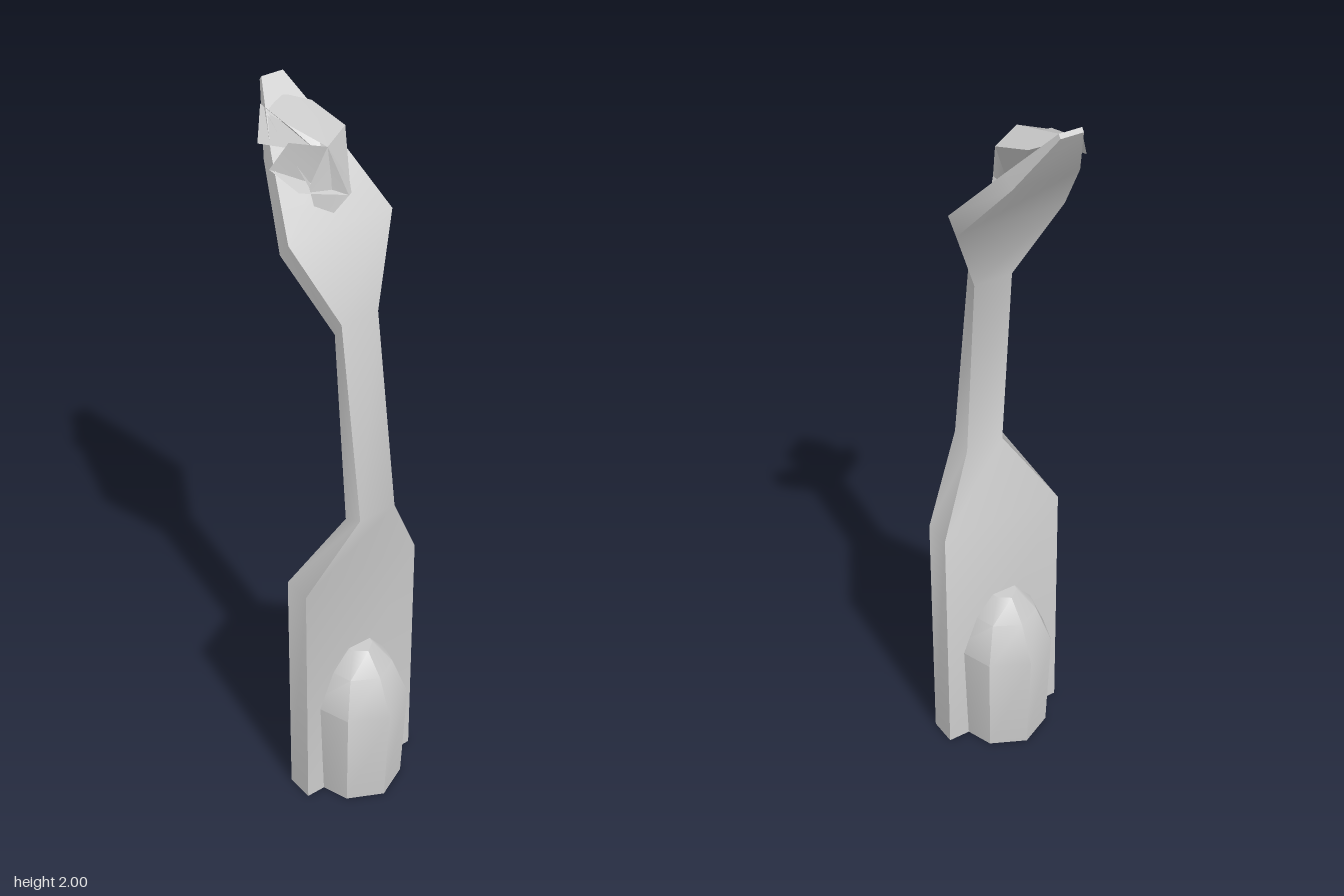
import * as THREE from 'three';
import { toCreasedNormals } from 'three/addons/utils/BufferGeometryUtils.js';

const grey = new THREE.MeshStandardMaterial({ color: 0xcccccc });
const thin = new THREE.MeshStandardMaterial({ color: 0xcccccc, side: THREE.DoubleSide });

// Skins rings of points (counter-clockwise from above) and caps both ends.
function loft(rings, crease) {
  const pos = [];
  const tri = (...pts) => pts.forEach((p) => pos.push(...p));
  const n = rings[0].length;
  for (let i = 0; i < rings.length - 1; i++) {
    for (let j = 0; j < n; j++) {
      const k = (j + 1) % n;
      const [a, b, c, d] = [rings[i][j], rings[i][k], rings[i + 1][k], rings[i + 1][j]];
      tri(a, b, c);
      tri(a, c, d);
    }
  }
  const top = rings[rings.length - 1], bottom = rings[0];
  for (let j = 1; j < n - 1; j++) {
    tri(bottom[0], bottom[j + 1], bottom[j]);
    tri(top[0], top[j], top[j + 1]);
  }
  const geo = new THREE.BufferGeometry();
  geo.setAttribute('position', new THREE.Float32BufferAttribute(pos, 3));
  return toCreasedNormals(geo, crease);
}

// A folded sheet fanning out from its first point.
function fan(points) {
  const pos = [];
  for (let i = 1; i < points.length - 1; i++) pos.push(...points[0], ...points[i], ...points[i + 1]);
  const geo = new THREE.BufferGeometry();
  geo.setAttribute('position', new THREE.Float32BufferAttribute(pos, 3));
  return toCreasedNormals(geo, 0.6);
}

export function createModel() {
  const group = new THREE.Group();
  const add = (name, geo, mat, parent = group) => {
    const mesh = new THREE.Mesh(geo, mat);
    mesh.name = name;
    parent.add(mesh);
  };

  // Flat strip: wide base, narrow neck, diamond blade leaning back.
  // [centre x, half width, front z, front y, back z, back y]
  const strip = [
    [0, 0.18, 0.12, 0, 0.04, 0],
    [0, 0.18, 0.12, 0.73, 0.04, 0.73],
    [0.003, 0.055, 0.18, 0.96, 0.12, 0.93],
    [0.003, 0.055, 0.1, 1.5, 0.073, 1.46],
    [0.007, 0.153, 0.02, 1.71, -0.015, 1.67],
    [0.007, 0.092, -0.13, 1.87, -0.16, 1.84],
    [0.007, 0.031, -0.25, 2.0, -0.257, 1.99],
  ].map(([x, w, fz, fy, bz, by]) => [[x - w, fy, fz], [x + w, fy, fz], [x + w, by, bz], [x - w, by, bz]]);
  add('stemAndBlade', loft(strip, 0.9), grey);

  // Eight-sided domed sleeve around the base: [y, x radius, z radius]
  const sleeve = [
    [0, 0.135, 0.16],
    [0.31, 0.145, 0.178],
    [0.42, 0.1, 0.133],
    [0.48, 0.045, 0.08],
  ].map(([y, rx, rz]) => Array.from({ length: 8 }, (_, i) => {
    const a = (i / 8) * Math.PI * 2;
    return [-0.004 + rx * Math.cos(a), y, 0.08 - rz * Math.sin(a)];
  }));
  add('baseSleeve', loft(sleeve, 0.7), grey);

  // Cluster of folded petals resting on the blade
  const petals = new THREE.Group();
  petals.name = 'petals';
  group.add(petals);
  const hub = [-0.01, 1.91, -0.01];
  const foot = [0, 1.74, 0];
  const rim = [[-0.055, 1.94, -0.19], [0.01, 1.96, -0.217], [0.07, 1.94, -0.18], [0.09, 1.91, -0.075], [0.058, 1.8, -0.015]];
  add('backPetal', fan([hub, ...rim.slice(0, 3)]), thin, petals);
  add('sidePetal', fan([hub, ...rim.slice(2)]), thin, petals);
  add('outerPetal', fan([[-0.02, 1.89, -0.03], [-0.095, 1.88, -0.17], [-0.05, 1.95, -0.22], [-0.045, 1.93, -0.1]]), thin, petals);
  add('frontPetal', fan([[0.025, 1.79, 0.025], hub, [-0.07, 1.91, -0.08], [-0.105, 1.84, -0.11], [-0.085, 1.81, -0.02]]), thin, petals);
  add('petalCup', fan([foot, [0.06, 1.77, -0.01], rim[4], hub, [-0.06, 1.82, -0.015], [-0.05, 1.77, -0.01]]), thin, petals);
  add('petalUnderside', fan([foot, rim[4], rim[3], rim[2], rim[1], rim[0], [-0.06, 1.82, -0.015]]), thin, petals);

  return group;
}
